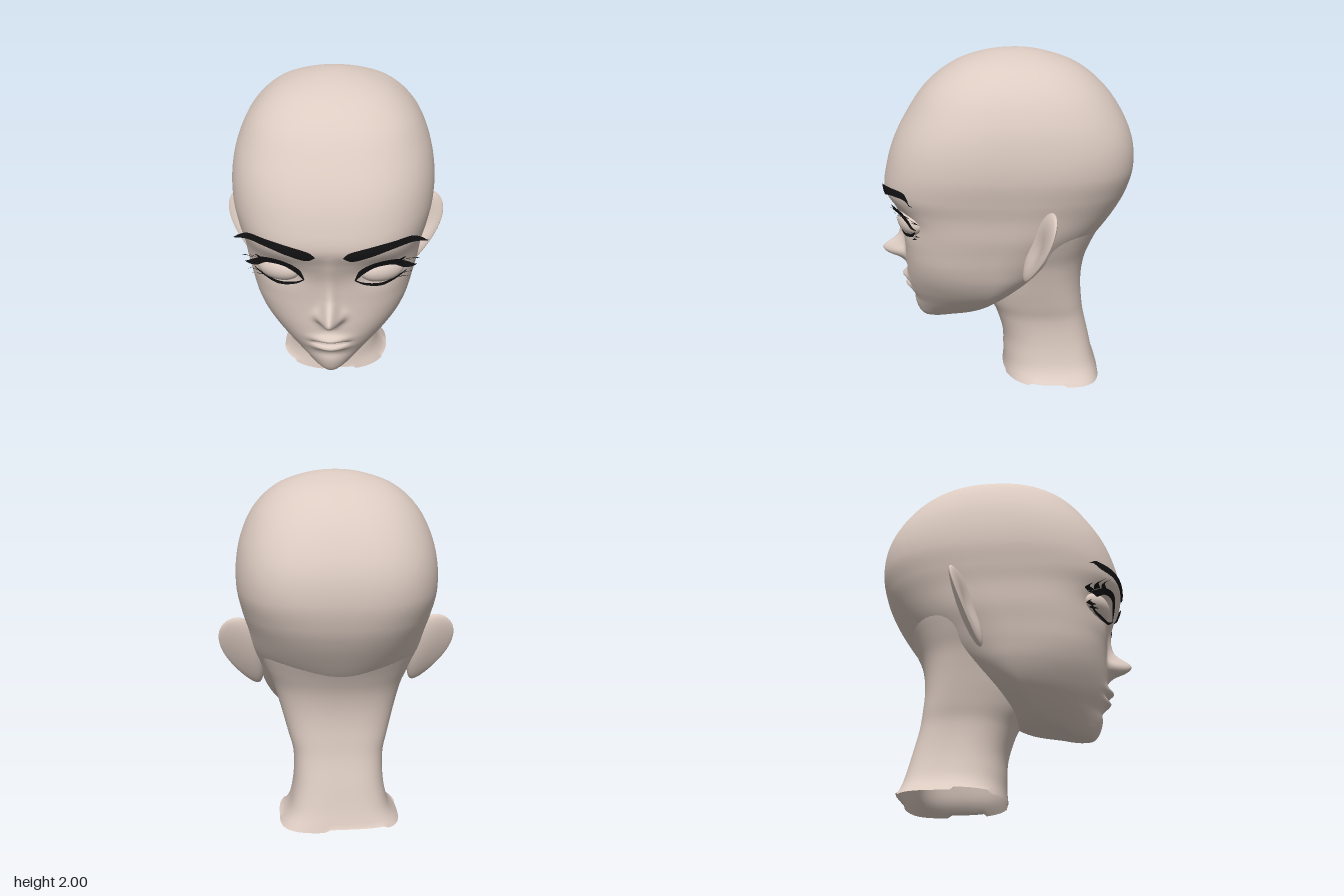
import * as THREE from 'three';

const skin = new THREE.MeshStandardMaterial({ color: 0xdccbc1, side: THREE.DoubleSide });
skin.name = 'skin';
const black = new THREE.MeshStandardMaterial({ color: 0x141416, side: THREE.DoubleSide });
black.name = 'lashBlack';

const Y0 = 0.345, Y1 = 2;
const toParam = (y) => Math.acos(THREE.MathUtils.clamp(1 - 2 * (y - Y0) / (Y1 - Y0), -1, 1));

// Smooth interpolation of key rows; the first entry of a row is its parameter
function sample(keys, p) {
  let i = 0;
  while (i < keys.length - 2 && p > keys[i + 1][0]) i++;
  const a = keys[i], b = keys[i + 1], pre = keys[i - 1] || a, post = keys[i + 2] || b;
  const d = b[0] - a[0], t = THREE.MathUtils.clamp((p - a[0]) / d, 0, 1);
  return a.slice(1).map((_, k) => {
    const c = k + 1;
    const ma = (b[c] - pre[c]) / (b[0] - pre[0]) * d, mb = (post[c] - a[c]) / (post[0] - a[0]) * d;
    const t2 = t * t, t3 = t2 * t;
    return (2 * t3 - 3 * t2 + 1) * a[c] + (t3 - 2 * t2 + t) * ma + (3 * t2 - 2 * t3) * b[c] + (t3 - t2) * mb;
  });
}

// Head sections: height, half width, front z, back z, z of widest point, front and back squareness
const headKeys = [
  [0.345, 0, 0.49, 0.49, 0.49, 2, 2],
  [0.385, 0.11, 0.537, 0.29, 0.37, 2, 2],
  [0.43, 0.18, 0.555, 0.1, 0.26, 2, 2],
  [0.5, 0.265, 0.57, 0, 0.18, 2.05, 2],
  [0.6, 0.36, 0.595, -0.12, 0.1, 2.2, 2],
  [0.7, 0.42, 0.6, -0.28, 0.08, 2.45, 2],
  [0.8, 0.455, 0.6, -0.44, 0.08, 2.65, 2],
  [0.9, 0.48, 0.605, -0.53, 0.05, 2.75, 2.1],
  [1.0, 0.505, 0.62, -0.6, 0.02, 2.75, 2.3],
  [1.12, 0.525, 0.665, -0.672, 0, 2.7, 2.5],
  [1.22, 0.55, 0.708, -0.715, 0, 2.65, 2.65],
  [1.35, 0.575, 0.692, -0.742, 0, 2.6, 2.8],
  [1.5, 0.573, 0.645, -0.73, 0, 2.55, 2.8],
  [1.65, 0.54, 0.565, -0.67, -0.02, 2.5, 2.65],
  [1.8, 0.463, 0.455, -0.56, -0.04, 2.5, 2.5],
  [1.92, 0.33, 0.295, -0.4, -0.05, 2.4, 2.4],
  [1.97, 0.205, 0.165, -0.26, -0.05, 2.3, 2.3],
  [2, 0, -0.06, -0.06, -0.06, 2.2, 2.2],
].map(([y, ...rest]) => [toParam(y), ...rest]);

// Neck sections, laid out like the head's
const neckKeys = [
  [0, 0.352, 0.015, -0.585, -0.3, 2.3, 3.8],
  [0.06, 0.305, 0.01, -0.567, -0.29, 2.3, 3.6],
  [0.12, 0.282, 0.01, -0.55, -0.28, 2.3, 3.5],
  [0.25, 0.262, 0.015, -0.52, -0.26, 2.3, 3.3],
  [0.4, 0.265, 0.06, -0.485, -0.24, 2.3, 3.1],
  [0.5, 0.292, 0.11, -0.472, -0.22, 2.2, 2.9],
  [0.6, 0.32, 0.12, -0.465, -0.2, 2.2, 2.7],
  [0.7, 0.348, 0.1, -0.47, -0.19, 2.2, 2.5],
  [0.8, 0.38, 0.05, -0.492, -0.18, 2.2, 2.35],
  [0.9, 0.425, 0.02, -0.535, -0.17, 2.2, 2.25],
  [1.0, 0.465, 0, -0.587, -0.15, 2.2, 2.2],
  [1.1, 0.485, 0, -0.63, -0.14, 2.2, 2.2],
];

// Nose height above the face, by height
const noseKeys = [
  [0.69, 0], [0.715, 0.022], [0.74, 0.062], [0.755, 0.105], [0.775, 0.137], [0.8, 0.147],
  [0.825, 0.125], [0.855, 0.08], [0.895, 0.042], [1.0, 0.018], [1.12, 0.008], [1.2, 0],
];

const gauss = (d, s) => Math.exp(-(d / s) * (d / s));

// Nose, lips and eye sockets, as a push along z
function features(x, y) {
  const ax = Math.abs(x);
  let z = sample(noseKeys, y)[0] * gauss(x, 0.038 + 0.016 * gauss(y - 0.77, 0.05));
  z += 0.012 * gauss(ax - 0.06, 0.03) * gauss(y - 0.785, 0.028);
  z += gauss(x, 0.085) * (0.037 * gauss(y - 0.627, 0.022) + 0.028 * gauss(y - 0.562, 0.019));
  z -= 0.017 * Math.exp(-Math.pow(ax / 0.105, 6)) * gauss(y - 0.593, 0.009);
  z -= 0.01 * gauss(x, 0.1) * gauss(y - 0.505, 0.03);
  z -= 0.035 * gauss(ax - 0.28, 0.13) * gauss(y - 1.06, 0.075);
  return z;
}

// Plain face surface, used to lay the painted details on
function faceZ(x, y) {
  const [w, f, , zc, n] = sample(headKeys, toParam(y));
  return zc + (f - zc) * Math.pow(Math.max(0, 1 - Math.pow(Math.abs(x) / w, n)), 1 / n);
}

// Skin stretched over closed horizontal rings; section(v) gives height and the key columns
function ringSurface(name, rows, cols, section, adjust) {
  const pos = [], index = [];
  for (let j = 0; j <= rows; j++) {
    const [y, w, f, b, zc, nf, nb] = section(j / rows);
    for (let i = 0; i < cols; i++) {
      const t = (i / cols) * Math.PI * 2, a = t - 0.4 * Math.sin(t);
      const s = Math.sin(a), c = Math.cos(a), e = c > 0 ? nf : nb;
      const r = Math.pow(Math.pow(Math.abs(s), e) + Math.pow(Math.abs(c), e), -1 / e);
      const p = [w * s * r, y, zc + (c > 0 ? f - zc : zc - b) * c * r];
      adjust(p, c, i, j);
      pos.push(...p);
      if (j < rows) {
        const k = (i + 1) % cols, q = j * cols;
        index.push(q + i, q + k, q + cols + k, q + i, q + cols + k, q + cols + i);
      }
    }
  }
  return finish(name, skin, pos, index);
}

function finish(name, material, pos, index) {
  const g = new THREE.BufferGeometry();
  g.setAttribute('position', new THREE.Float32BufferAttribute(pos, 3));
  g.setIndex(index);
  g.computeVertexNormals();
  const m = new THREE.Mesh(g, material);
  m.name = name;
  return m;
}

// Thin painted strip between two edge curves of [x, y, lift] points
function strip(name, side, upper, lower, steps = 24) {
  const curve = (pts) => new THREE.CatmullRomCurve3(pts.map(([x, y, l = 0.012]) => new THREE.Vector3(x, y, l)));
  const cu = curve(upper), cl = curve(lower), pos = [], index = [], across = 3;
  for (let i = 0; i <= steps; i++) {
    const a = cu.getPoint(i / steps), b = cl.getPoint(i / steps);
    for (let k = 0; k <= across; k++) {
      const p = a.clone().lerp(b, k / across);
      pos.push(p.x * side, p.y, faceZ(p.x, p.y) + p.z);
      if (i < steps && k < across) {
        const q = i * (across + 1) + k, r = q + across + 1;
        index.push(q, r, q + 1, q + 1, r, r + 1);
      }
    }
  }
  return finish(name, black, pos, index);
}

// Egg-shaped ear blade, dished in front and thicker where it joins the head
function ear(side) {
  const g = new THREE.SphereGeometry(1, 40, 32), p = g.attributes.position;
  for (let i = 0; i < p.count; i++) {
    const x = p.getX(i), y = p.getY(i), z = p.getZ(i);
    const dish = z > 0 ? 0.04 * gauss(Math.hypot(x, y), 0.6) : 0;
    p.setXYZ(i, x * 0.14 * (0.77 + 0.3 * y), y * 0.24, z * 0.045 * (1 - 0.6 * x * side) - dish);
  }
  g.computeVertexNormals();
  const m = new THREE.Mesh(g, skin);
  m.name = side > 0 ? 'leftEar' : 'rightEar';
  m.position.set(0.535 * side, 0.968, -0.175);
  m.rotation.set(-0.28, 0.2 * side, -0.33 * side);
  return m;
}

function eye(side) {
  const group = new THREE.Group();
  group.name = side > 0 ? 'leftEye' : 'rightEye';
  const ball = new THREE.Mesh(new THREE.SphereGeometry(1, 40, 28), skin);
  ball.name = 'eyeball';
  ball.scale.set(0.132, 0.073, 0.07);
  ball.position.set(0.28 * side, 1.056, 0.54);
  ball.rotation.y = 0.45 * side;
  group.add(ball);
  group.add(strip('upperLid', side,
    [[0.133, 1.032, 0.02], [0.16, 1.098], [0.25, 1.147], [0.35, 1.143, 0.02], [0.41, 1.105, 0.045], [0.47, 1.065, 0.125]],
    [[0.14, 1.03, 0.02], [0.185, 1.075], [0.25, 1.112], [0.34, 1.107, 0.02], [0.395, 1.066, 0.04], [0.47, 1.06, 0.125]]));
  group.add(strip('lowerLid', side,
    [[0.135, 1.035, 0.02], [0.18, 1.007], [0.28, 0.99], [0.36, 1.007], [0.415, 1.035, 0.04]],
    [[0.135, 1.027, 0.02], [0.18, 0.992], [0.28, 0.969], [0.36, 0.988], [0.415, 1.028, 0.04]]));
  // Lashes: root x, root y, tip x, tip y, tip lift
  const lashes = [
    [0.37, 1.13, 0.4, 1.18, 0.09], [0.4, 1.115, 0.455, 1.15, 0.15], [0.42, 1.095, 0.485, 1.11, 0.17],
    [0.39, 1.02, 0.455, 1.022, 0.12], [0.37, 1.005, 0.435, 0.998, 0.1],
  ];
  for (const [x, y, tx, ty, lift] of lashes) {
    const mx = (x + tx) / 2 + 0.01, my = (y + ty) / 2 - 0.006;
    group.add(strip('lash', side,
      [[x - 0.012, y + 0.008, 0.03], [mx - 0.005, my + 0.005, lift / 2], [tx, ty, lift]],
      [[x + 0.012, y - 0.008, 0.03], [mx + 0.005, my - 0.005, lift / 2], [tx, ty, lift]], 6));
  }
  return group;
}

function eyebrow(side) {
  return strip(side > 0 ? 'leftEyebrow' : 'rightEyebrow', side,
    [[0.073, 1.2], [0.1, 1.226], [0.2, 1.253], [0.32, 1.268], [0.43, 1.267, 0.025], [0.485, 1.246, 0.09], [0.525, 1.215, 0.2]],
    [[0.073, 1.195], [0.115, 1.172], [0.21, 1.195], [0.32, 1.222], [0.42, 1.228, 0.025], [0.48, 1.225, 0.09], [0.525, 1.213, 0.2]], 32);
}

export function createModel() {
  const model = new THREE.Group();
  model.name = 'mannequinHead';

  model.add(ringSurface('head', 190, 180,
    (v) => [Y0 + (Y1 - Y0) * (1 - Math.cos(Math.PI * v)) / 2, ...sample(headKeys, Math.PI * v)],
    (p, c) => { if (c > 0) p[2] += features(p[0], p[1]) * Math.min(1, c * 4); }));

  // Open neck with a slightly torn lower edge
  model.add(ringSurface('neck', 50, 96,
    (v) => [1.1 * v, ...sample(neckKeys, 1.1 * v)],
    (p, c, i, j) => { if (j === 0 && i % 23 < 10) p[1] += 0.016; }));

  for (const side of [1, -1]) model.add(ear(side), eye(side), eyebrow(side));
  return model;
}
